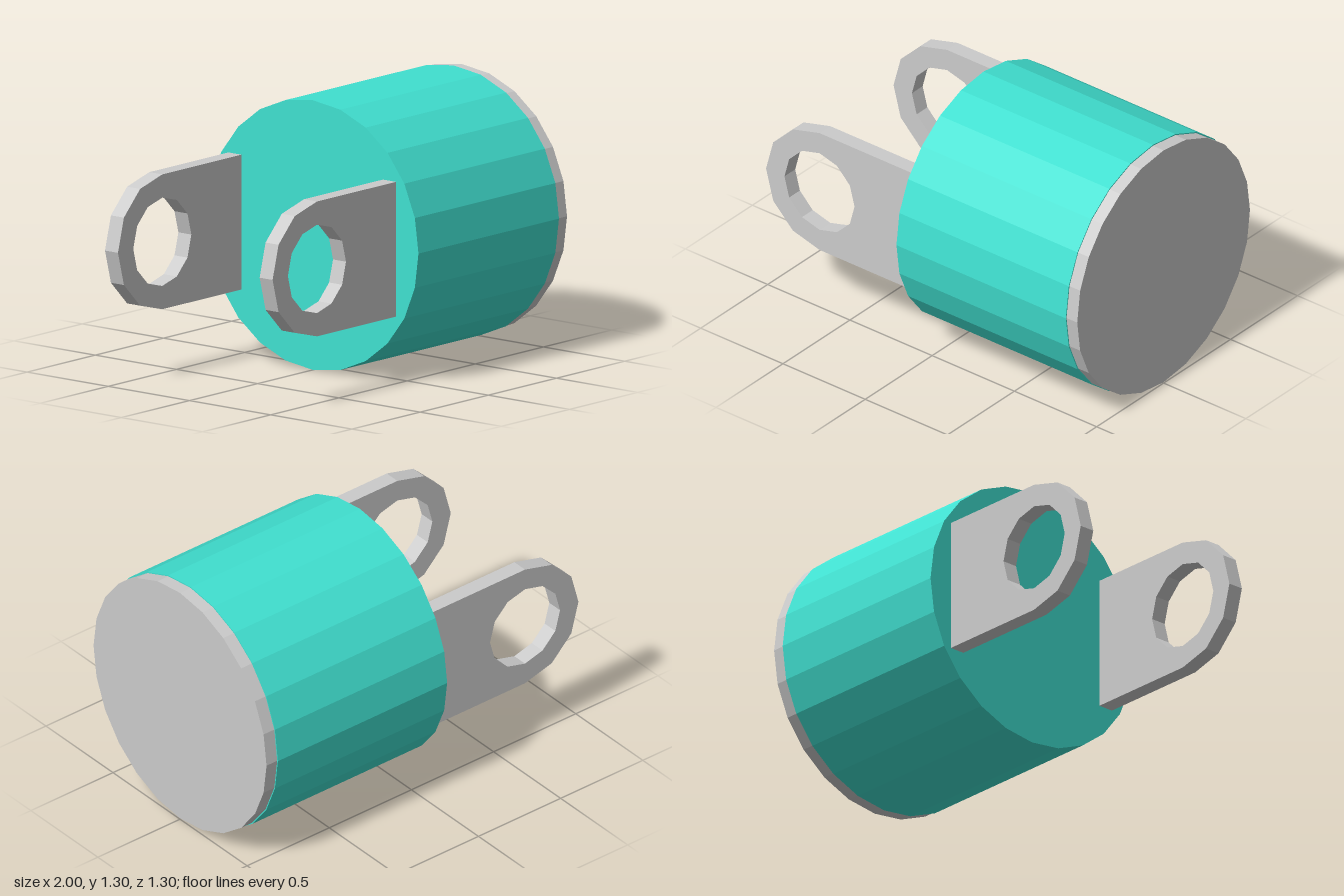
import * as THREE from 'three';

const AXIS_Y = 0.65;

export function createModel() {
  const group = new THREE.Group();
  const grey = new THREE.MeshStandardMaterial({ color: 0xcccccc, flatShading: true });
  const teal = new THREE.MeshStandardMaterial({ color: 0x40e0d0, flatShading: true });

  // Drum lying along x, spanning x0 to x1
  const addDrum = (name, radius, x0, x1, material) => {
    const geometry = new THREE.CylinderGeometry(radius, radius, x1 - x0, 24);
    geometry.rotateZ(-Math.PI / 2);
    const mesh = new THREE.Mesh(geometry, material);
    mesh.name = name;
    mesh.position.set((x0 + x1) / 2, AXIS_Y, 0);
    group.add(mesh);
  };
  addDrum('body', 0.65, -0.095, 0.935, teal);
  addDrum('endCap', 0.645, 0.935, 1, grey);

  // Mounting lug: straight plate with a rounded, pierced end
  const lugX = -0.675, lugR = 0.325, holeR = 0.213, thickness = 0.08;
  const arc = (radius, from, to, steps) => Array.from({ length: steps + 1 }, (_, i) => {
    const a = from + (to - from) * i / steps;
    return new THREE.Vector2(lugX + radius * Math.cos(a), radius * Math.sin(a));
  });
  const outline = new THREE.Shape([
    new THREE.Vector2(-0.095, -lugR),
    new THREE.Vector2(-0.095, lugR),
    ...arc(lugR, Math.PI / 2, Math.PI * 1.5, 6),
  ]);
  outline.holes.push(new THREE.Path(arc(holeR, 0, -Math.PI * 2, 12).slice(0, 12)));
  const lugGeometry = new THREE.ExtrudeGeometry(outline, { depth: thickness, bevelEnabled: false });
  lugGeometry.translate(0, 0, -thickness / 2);

  for (const [name, z] of [['frontLug', 0.472], ['backLug', -0.48]]) {
    const lug = new THREE.Mesh(lugGeometry, grey);
    lug.name = name;
    lug.position.set(0, AXIS_Y + 0.002, z);
    group.add(lug);
  }
  return group;
}
